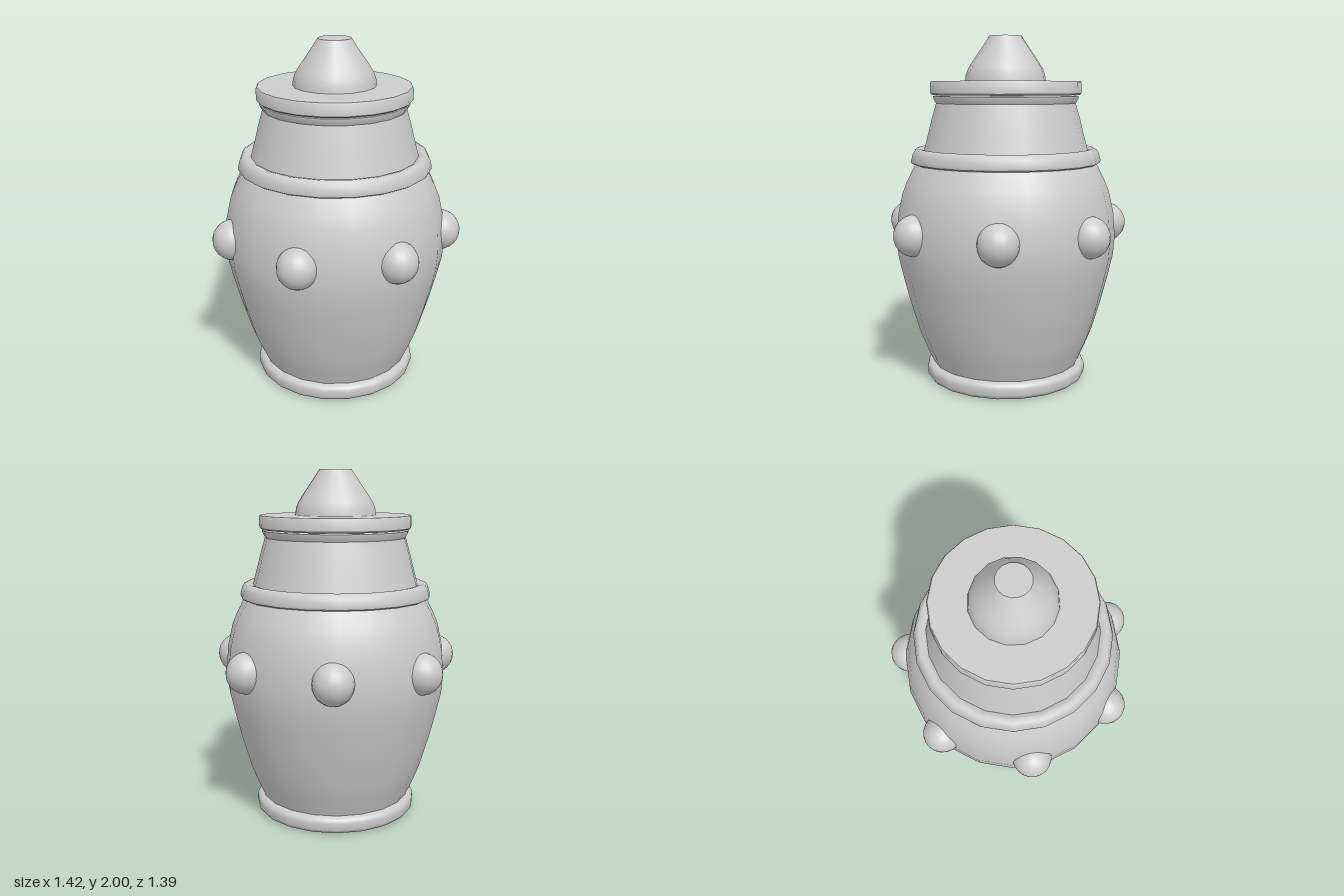
import * as THREE from 'three';
import { toCreasedNormals } from 'three/addons/utils/BufferGeometryUtils.js';

const SIDES = 20;
const material = new THREE.MeshStandardMaterial({ color: 0xcccccc, side: THREE.DoubleSide });

// Lathe a profile of [radius, y] pairs, listed from bottom to top on the outside
function turned(name, profile, sides = SIDES) {
  const points = profile.map(([r, y]) => new THREE.Vector2(r, y));
  const geometry = toCreasedNormals(new THREE.LatheGeometry(points, sides), 0.75);
  const mesh = new THREE.Mesh(geometry, material);
  mesh.name = name;
  return mesh;
}

// Closed ring with a rounded rectangular cross-section
function ring(name, inner, outer, bottom, top, bevel) {
  const shape = new THREE.Shape();
  shape.absarc(outer - bevel, bottom + bevel, bevel, -Math.PI / 2, 0);
  shape.absarc(outer - bevel, top - bevel, bevel, 0, Math.PI / 2);
  shape.absarc(inner + bevel, top - bevel, bevel, Math.PI / 2, Math.PI);
  shape.absarc(inner + bevel, bottom + bevel, bevel, Math.PI, Math.PI * 1.5);
  shape.closePath();
  return turned(name, shape.getPoints(4).map((p) => [p.x, p.y]));
}

export function createModel() {
  const jar = new THREE.Group();
  jar.name = 'jar';
  const axis = new THREE.Group();
  axis.name = 'turnedParts';
  axis.position.z = 0.027;
  jar.add(axis);

  // Hollow body, open underneath
  axis.add(turned('body', [
    [0.42, 0.06], [0.435, 0.1], [0.475, 0.19], [0.515, 0.29], [0.57, 0.48], [0.605, 0.62],
    [0.632, 0.74], [0.641, 0.85], [0.63, 0.99], [0.6, 1.12], [0.575, 1.18], [0.53, 1.27], [0.49, 1.33],
  ]));

  // Foot ring
  axis.add(ring('footRing', 0.385, 0.473, 0, 0.1, 0.04));

  // Shoulder collar
  axis.add(turned('collar', [
    [0.48, 1.275], [0.535, 1.275], [0.549, 1.283], [0.551, 1.295], [0.54, 1.335],
    [0.527, 1.357], [0.51, 1.364], [0.49, 1.36], [0.46, 1.345],
  ]));

  // Flared neck with a small lip under the lid
  axis.add(turned('neck', [
    [0.485, 1.32], [0.472, 1.37], [0.45, 1.45], [0.43, 1.53], [0.412, 1.59],
    [0.404, 1.62], [0.418, 1.645], [0.42, 1.66], [0.38, 1.668],
  ]));

  // Flat lid
  axis.add(turned('lid', [
    [0, 1.667], [0.425, 1.667], [0.435, 1.675], [0.435, 1.738], [0.43, 1.745], [0, 1.745],
  ]));

  // Blunt knob on the lid
  axis.add(turned('knob', [
    [0.234, 1.74], [0.228, 1.78], [0.215, 1.815], [0.19, 1.855], [0.152, 1.91],
    [0.118, 1.96], [0.092, 2], [0, 2],
  ], 16));

  // Seven round studs around the belly, one of them at the back
  const studGeometry = new THREE.SphereGeometry(0.117, 20, 14);
  for (let i = 0; i < 7; i++) {
    const angle = Math.PI + (i * Math.PI * 2) / 7;
    const stud = new THREE.Mesh(studGeometry, material);
    stud.name = 'stud' + (i + 1);
    stud.position.set(Math.sin(angle) * 0.61, 0.907, Math.cos(angle) * 0.61);
    stud.rotation.y = angle;
    stud.scale.x = 0.97;
    axis.add(stud);
  }
  return jar;
}
